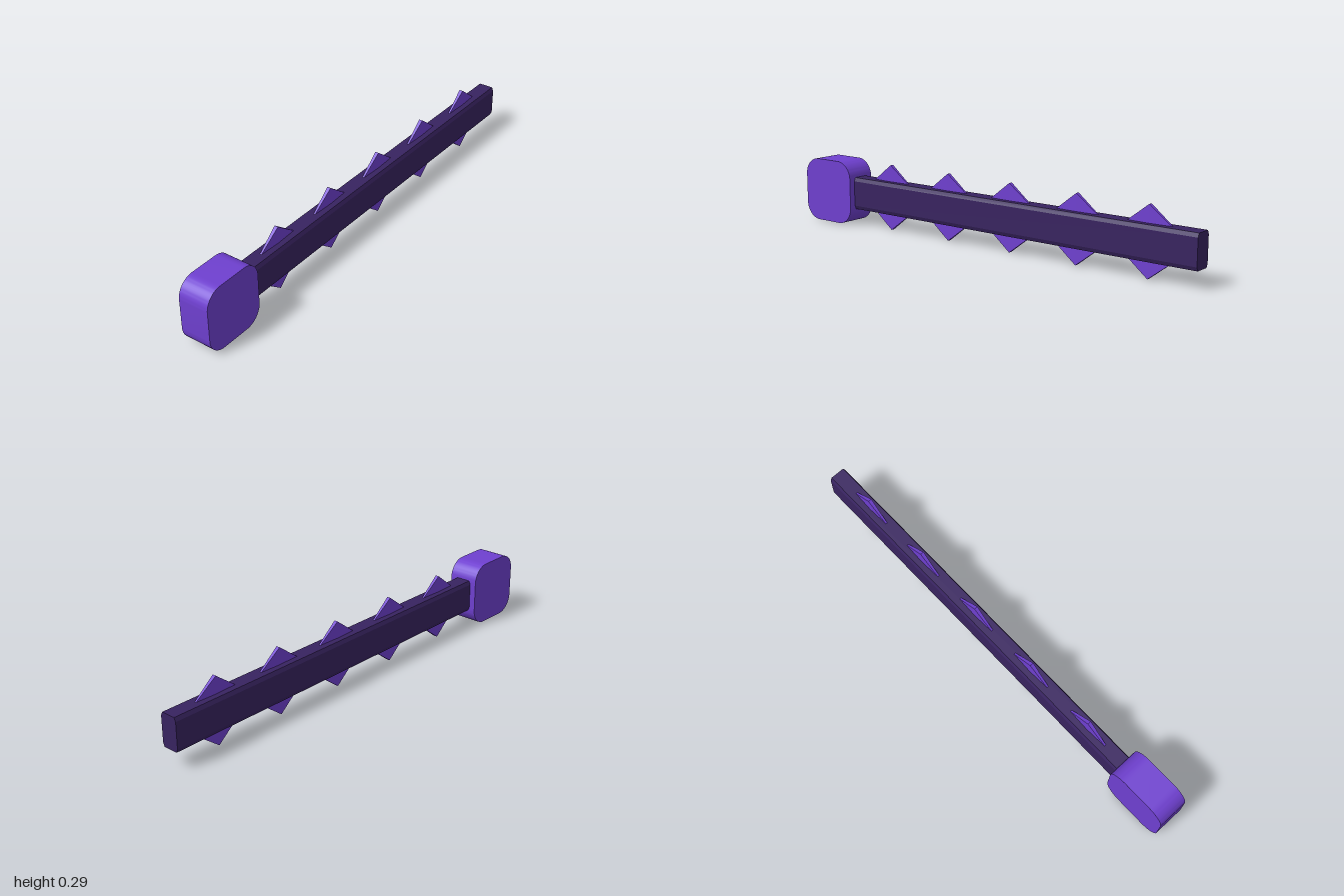
import * as THREE from 'three';
import { mergeGeometries, toCreasedNormals } from 'three/addons/utils/BufferGeometryUtils.js';

const MID_Y = 0.146;

// Rectangle outline with rounded corners, centred on the origin
function roundedRect(halfW, halfH, r) {
  const s = new THREE.Shape();
  s.absarc(halfW - r, halfH - r, r, 0, Math.PI / 2);
  s.absarc(-halfW + r, halfH - r, r, Math.PI / 2, Math.PI);
  s.absarc(-halfW + r, -halfH + r, r, Math.PI, Math.PI * 1.5);
  s.absarc(halfW - r, -halfH + r, r, Math.PI * 1.5, Math.PI * 2);
  s.closePath();
  return s;
}

// Thin double-pointed blade: points at both x ends, full height in the middle
function bladeGeometry(halfLength, halfHeight, halfThickness) {
  const halves = [1, -1].map((side) =>
    new THREE.ConeGeometry(Math.SQRT2, 1, 4, 1, true)
      .rotateY(Math.PI / 4)
      .translate(0, 0.5, 0)
      .rotateZ(-side * Math.PI / 2)
      .scale(halfLength, halfHeight, halfThickness));
  const geometry = mergeGeometries(halves).toNonIndexed();
  geometry.computeVertexNormals();
  return geometry;
}

export function createModel() {
  const group = new THREE.Group();
  const purple = new THREE.MeshStandardMaterial({ color: 0x6f40d0 });
  purple.name = 'purple';
  const darkPurple = new THREE.MeshStandardMaterial({ color: 0x382360 });
  darkPurple.name = 'dark purple';

  const add = (name, geometry, material, x) => {
    const mesh = new THREE.Mesh(geometry, material);
    mesh.name = name;
    mesh.position.set(x, MID_Y, 0);
    group.add(mesh);
  };

  // Rounded end block
  const block = new THREE.ExtrudeGeometry(roundedRect(0.1375, 0.14, 0.075), {
    depth: 0.134, bevelEnabled: false, curveSegments: 8,
  }).translate(0, 0, -0.067);
  add('endBlock', toCreasedNormals(block, Math.PI / 4), purple, -0.8625);

  // Long bar with chamfered edges
  const [w, h, cw, ch] = [0.039, 0.071, 0.007, 0.016];
  const section = new THREE.Shape([
    [w, -h + ch], [w, h - ch], [w - cw, h], [-w + cw, h],
    [-w, h - ch], [-w, -h + ch], [-w + cw, -h], [w - cw, -h],
  ].map(([x, y]) => new THREE.Vector2(x, y)));
  const bar = new THREE.ExtrudeGeometry(section, { depth: 1.735, bevelEnabled: false })
    .rotateY(Math.PI / 2);
  add('bar', bar, darkPurple, -0.735);

  // Blades that pass through the bar, giving a spike above and below
  const blade = bladeGeometry(0.19, 0.144, 0.008);
  for (let i = 0; i < 5; i++) {
    add(`spikeBlade${i + 1}`, blade, purple, -0.532 + i * 0.327);
  }

  return group;
}
